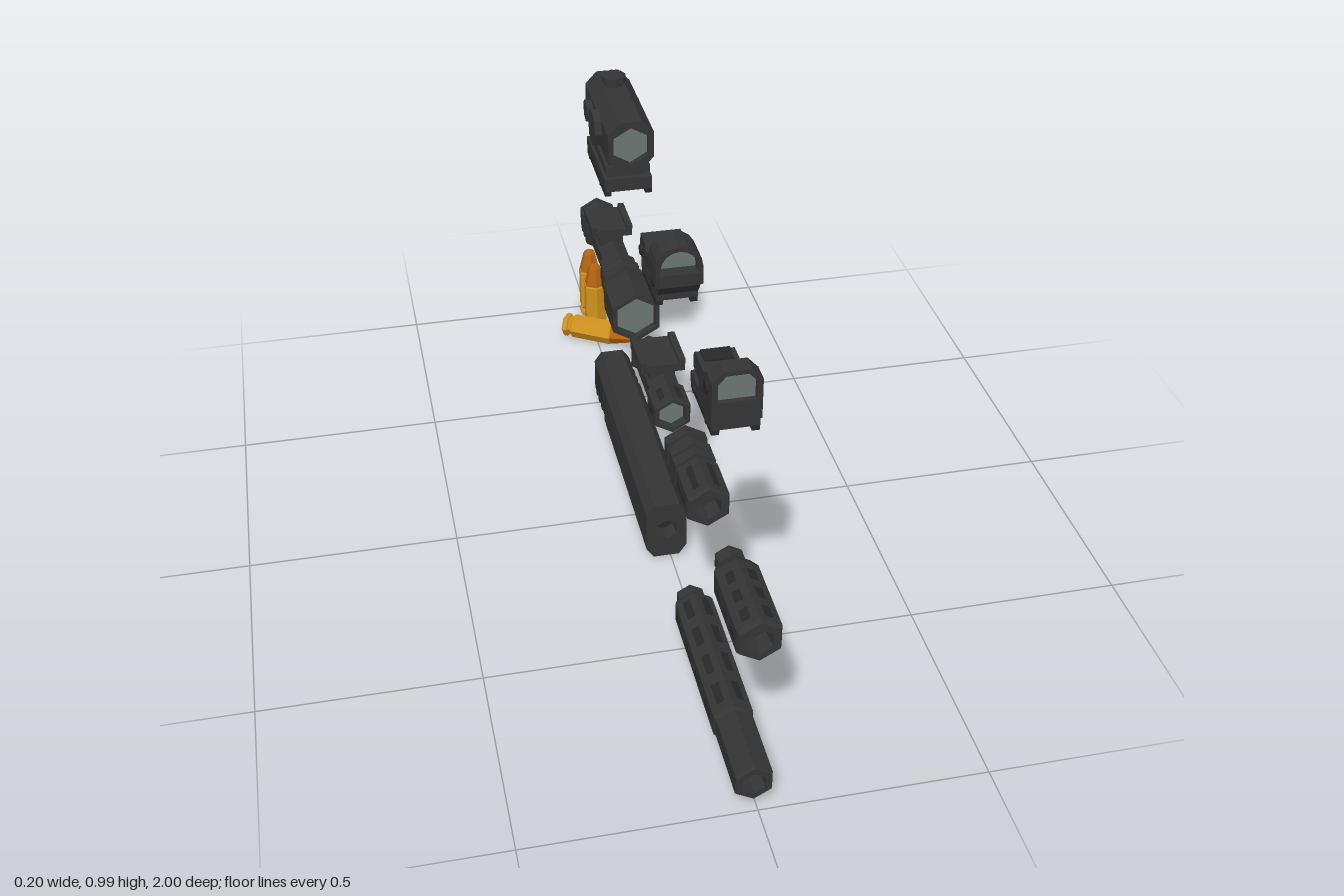
import * as THREE from 'three';

const mat = (name, color) => {
  const m = new THREE.MeshStandardMaterial({ color });
  m.name = name;
  return m;
};

export function createModel() {
  const charcoal = mat('charcoal', 0x343434), black = mat('black', 0x282828);
  const brass = mat('brass', 0xd0921f), copper = mat('copper', 0xb5640f), glass = mat('glass', 0x6c7674);

  const root = new THREE.Group();
  root.name = 'accessorySet';
  const kit = new THREE.Group();
  kit.name = 'accessories';
  kit.position.x = -0.01;
  root.add(kit);

  let current = kit;
  const group = (name) => {
    current = new THREE.Group();
    current.name = name;
    kit.add(current);
  };
  const add = (name, geo, m = charcoal, parent = current) => {
    const mesh = new THREE.Mesh(geo, m);
    mesh.name = name;
    parent.add(mesh);
    return mesh;
  };
  // box given by its limits
  const box = (name, x0, x1, y0, y1, z0, z1, m) =>
    add(name, new THREE.BoxGeometry(x1 - x0, y1 - y0, z1 - z0), m)
      .position.set((x0 + x1) / 2, (y0 + y1) / 2, (z0 + z1) / 2);
  const poly = (pts) => pts.map(([a, b]) => new THREE.Vector2(a, b));
  // outline in x,y extruded along z, with an optional hole
  const prism = (name, pts, z0, z1, hole, m) => {
    const s = new THREE.Shape(poly(pts));
    if (hole) s.holes.push(new THREE.Path(poly(hole)));
    return add(name, new THREE.ExtrudeGeometry(s, { depth: z1 - z0, bevelEnabled: false }).translate(0, 0, z0), m);
  };
  // outline in z,y extruded along x
  const side = (name, pts, x0, x1, m) => {
    const g = new THREE.ExtrudeGeometry(new THREE.Shape(poly(pts)), { depth: x1 - x0, bevelEnabled: false });
    return add(name, g.rotateY(-Math.PI / 2).translate(x1, 0, 0), m);
  };
  // six-sided turned body; profile is [radius, height] from bottom to top
  const turned = (profile) => {
    const g = new THREE.LatheGeometry(poly(profile), 6).toNonIndexed();
    g.computeVertexNormals();
    return g;
  };
  const barrel = (name, y, profile, m) => {
    const mesh = add(name, turned(profile).rotateX(Math.PI / 2), m);
    mesh.position.y = y;
    return mesh;
  };
  // thin plates on the six flats of a barrel
  const slots = (y, apothem, z, length, width) => {
    for (let k = 0; k < 6; k++) {
      const a = (k * Math.PI) / 3;
      const p = add('slot', new THREE.BoxGeometry(0.004, width, length), black);
      p.position.set(Math.cos(a) * apothem, y + Math.sin(a) * apothem, z);
      p.rotation.z = a;
    }
  };
  const cut = (hw, y0, y1, cx, cy) => [
    [-hw + cx, y0], [hw - cx, y0], [hw, y0 + cy], [hw, y1 - cy],
    [hw - cx, y1], [-hw + cx, y1], [-hw, y1 - cy], [-hw, y0 + cy]];
  const hex = (r, y) => [0, 1, 2, 3, 4, 5].map((k) => {
    const a = (k + 0.5) * Math.PI / 3;
    return [Math.cos(a) * r, y + Math.sin(a) * r];
  });
  const knob = (name, x, y, z, r, len, m) => {
    const g = new THREE.CylinderGeometry(r, r, len, 8).toNonIndexed();
    g.computeVertexNormals();
    add(name, g.rotateZ(Math.PI / 2), m).position.set(x, y, z);
  };
  // clamp with two jaws under a sight
  const clamp = (y0, y1, z0, z1, hw) => {
    box('clampPlate', -hw, hw, y0 + 0.012, y1, z0, z1);
    for (const s of [-1, 1]) {
      box('clampJaw', s * (hw - 0.008) - 0.008, s * (hw - 0.008) + 0.008, y0, y0 + 0.02, z0 + 0.002, z1 - 0.002, black);
      for (const t of [0.2, 0.8]) knob('clampScrew', s * hw, y0 + 0.015, z0 + (z1 - z0) * t, 0.008, 0.008, black);
    }
  };

  // compact sight with a sloping hood
  group('slopedSight');
  clamp(0.793, 0.83, 0.6, 0.775, 0.048);
  side('deck', [[0.59, 0.83], [0.78, 0.83], [0.78, 0.86], [0.68, 0.872], [0.6, 0.872], [0.59, 0.865]], -0.04, 0.04);
  const frame = [[-0.05, 0.825], [0.05, 0.825], [0.05, 0.915], [0.028, 0.94], [-0.028, 0.94], [-0.05, 0.915]];
  const pane = [[-0.038, 0.87], [0.038, 0.87], [0.038, 0.912], [0.022, 0.93], [-0.022, 0.93], [-0.038, 0.912]];
  prism('hood', frame, 0.74, 0.78, pane);
  prism('lens', pane, 0.762, 0.768, null, glass);
  for (const s of [-1, 1]) {
    side('hoodWing', [[0.675, 0.83], [0.74, 0.83], [0.74, 0.918], [0.675, 0.872]], s * 0.044 - 0.006, s * 0.044 + 0.006);
    knob('adjuster', s * 0.05, 0.885, 0.74, 0.015, 0.008, black);
  }
  box('rearBlock', -0.03, 0.03, 0.865, 0.876, 0.6, 0.64, black);

  // compact sight with a round hood
  group('roundSight');
  clamp(0.773, 0.81, 0.112, 0.262, 0.046);
  side('body', [[0.1, 0.805], [0.27, 0.805], [0.288, 0.83], [0.288, 0.86], [0.2, 0.855], [0.15, 0.848], [0.14, 0.86], [0.095, 0.86], [0.09, 0.83]], -0.045, 0.045);
  const arch = (r, low) => {
    const pts = [[-r, low], [r, low]];
    for (let k = 0; k <= 8; k++) pts.push([Math.cos(k * Math.PI / 8) * r, 0.873 + Math.sin(k * Math.PI / 8) * r]);
    return pts;
  };
  prism('hood', arch(0.052, 0.83), 0.21, 0.285, arch(0.041, 0.86));
  prism('lens', arch(0.041, 0.86), 0.25, 0.256, null, glass);
  for (const s of [-1, 1]) {
    knob('adjuster', s * 0.047, 0.83, 0.25, 0.014, 0.01, black);
    knob('adjuster', s * 0.047, 0.832, 0.12, 0.012, 0.01, black);
  }

  // tube sight on a raised mount
  group('tubeSight');
  clamp(0.76, 0.805, -0.505, -0.265, 0.057);
  box('mountNeck', -0.045, 0.045, 0.8, 0.85, -0.49, -0.28);
  box('mountStep', -0.053, 0.053, 0.815, 0.835, -0.5, -0.27);
  prism('tube', cut(0.055, 0.845, 0.968, 0.028, 0.03), -0.525, -0.23, hex(0.048, 0.905));
  prism('frontLens', hex(0.048, 0.905), -0.252, -0.246, null, glass);
  prism('rearLens', hex(0.048, 0.905), -0.509, -0.503, null, glass);
  const turret = (r, y0, y1) => {
    const g = new THREE.CylinderGeometry(r, r, y1 - y0, 8).toNonIndexed();
    g.computeVertexNormals();
    add('topTurret', g).position.set(0, (y0 + y1) / 2, -0.443);
  };
  turret(0.024, 0.96, 0.978);
  turret(0.03, 0.976, 0.993);
  knob('sideDial', -0.063, 0.905, -0.35, 0.046, 0.018);
  knob('sideTurret', -0.06, 0.905, -0.443, 0.028, 0.02);
  knob('sideCap', 0.056, 0.905, -0.443, 0.022, 0.01);

  // short muzzle device
  group('muzzleDevice');
  barrel('body', 0.462, [[0, 0.765], [0.02, 0.765], [0.02, 0.745], [0.032, 0.745], [0.032, 0.785], [0.04, 0.785],
    [0.052, 0.81], [0.052, 0.99], [0.047, 1], [0.03, 1], [0.024, 0.96], [0, 0.96]]);
  for (const z of [0.85, 0.905, 0.96]) slots(0.462, 0.0445, z, 0.03, 0.018);

  // ringed muzzle device
  group('ringedMuzzleDevice');
  const ringed = [[0, 0.38], [0.022, 0.38], [0.022, 0.35]];
  for (const z of [0.35, 0.395, 0.43]) ringed.push([0.052, z], [0.052, z + 0.027], [0.042, z + 0.027], [0.042, z + 0.035]);
  barrel('body', 0.462, [...ringed, [0.052, 0.467], [0.052, 0.575], [0.047, 0.58], [0.03, 0.58], [0.026, 0.54], [0, 0.54]]);
  slots(0.462, 0.0445, 0.52, 0.075, 0.014);

  // rail mount on top of a flashlight
  const mount = (y0, y1, z0, z1) => {
    box('mountStem', -0.03, 0.03, y0, y1 - 0.02, z0 + 0.01, z1 - 0.01);
    box('mountPlate', -0.052, 0.052, y1 - 0.03, y1 - 0.01, z0, z1);
    for (const s of [-1, 1]) box('mountLip', s * 0.045 - 0.008, s * 0.045 + 0.008, y1 - 0.012, y1, z0, z1);
  };

  group('smallFlashlight');
  barrel('body', 0.455, [[0, -0.045], [0.042, -0.045], [0.048, -0.038], [0.048, -0.02], [0.04, -0.01], [0.04, 0.14],
    [0.048, 0.15], [0.048, 0.225], [0.045, 0.23], [0.036, 0.23], [0.03, 0.21], [0, 0.21]]);
  barrel('lens', 0.455, [[0, 0.208], [0.032, 0.208], [0.032, 0.214], [0, 0.214]], glass);
  slots(0.455, 0.041, 0.19, 0.04, 0.014);
  mount(0.48, 0.534, 0.005, 0.125);

  group('largeFlashlight');
  const tail = [[0, -0.725], [0.042, -0.725], [0.05, -0.718]];
  for (const z of [-0.695, -0.665, -0.635]) tail.push([0.05, z - 0.004], [0.044, z], [0.044, z + 0.006], [0.054, z + 0.01]);
  barrel('body', 0.463, [...tail, [0.052, -0.61], [0.04, -0.59], [0.04, -0.44], [0.05, -0.428], [0.05, -0.41], [0.045, -0.407],
    [0.045, -0.4], [0.054, -0.396], [0.054, -0.378], [0.048, -0.374], [0.048, -0.367], [0.056, -0.36], [0.056, -0.335],
    [0.067, -0.3], [0.067, -0.18], [0.056, -0.18], [0.05, -0.2], [0, -0.2]]);
  barrel('lens', 0.463, [[0, -0.202], [0.053, -0.202], [0.053, -0.194], [0, -0.194]], glass);
  mount(0.49, 0.549, -0.61, -0.49);

  // long slotted muzzle device
  group('longMuzzleDevice');
  barrel('body', 0.078, [[0, 0.45], [0.02, 0.45], [0.02, 0.415], [0.034, 0.415], [0.034, 0.447], [0.044, 0.45], [0.049, 0.46],
    [0.049, 0.825], [0.045, 0.832], [0.045, 0.995], [0.042, 1], [0.028, 1], [0.024, 0.95], [0, 0.95]]);
  for (const z of [0.5, 0.59, 0.68, 0.77]) slots(0.078, 0.042, z, 0.055, 0.018);

  // large box-shaped muzzle device
  group('largeMuzzleDevice');
  prism('mainBody', cut(0.049, 0, 0.152, 0.018, 0.026), -0.38, 0.17, hex(0.028, 0.078));
  prism('rearBody', cut(0.047, 0.01, 0.146, 0.018, 0.026), -0.525, -0.38, hex(0.026, 0.078));
  prism('boreBlock', hex(0.03, 0.078), -0.48, 0.13, null, black);
  for (const s of [-1, 1]) {
    box('sidePanel', s * 0.049 - 0.001, s * 0.049 + 0.001, 0.05, 0.105, -0.34, -0.17);
    for (const z of [-0.42, -0.455, -0.49])
      box('rearRib', s * 0.047 - 0.002, s * 0.047 + 0.002, 0.036, 0.12, z - 0.008, z + 0.008, black);
  }

  // cartridges: two upright, one lying down
  const cartridge = (name) => {
    const g = new THREE.Group();
    g.name = name;
    add('case', turned([[0, 0], [0.03, 0], [0.033, 0.004], [0.033, 0.014], [0.027, 0.017], [0.027, 0.022],
      [0.033, 0.028], [0.033, 0.142], [0.03, 0.146], [0, 0.146]]), brass, g);
    add('tip', turned([[0, 0.142], [0.031, 0.142], [0.028, 0.158], [0.018, 0.198], [0.013, 0.205], [0, 0.205]]), copper, g);
    root.add(g);
    return g;
  };
  for (const z of [-0.884, -0.967]) cartridge('uprightCartridge').position.set(0.01, 0, z);
  const lying = cartridge('lyingCartridge');
  lying.position.set(-0.083, 0.036, -0.858);
  lying.rotation.set(0, -0.56, -Math.PI / 2);

  return root;
}
